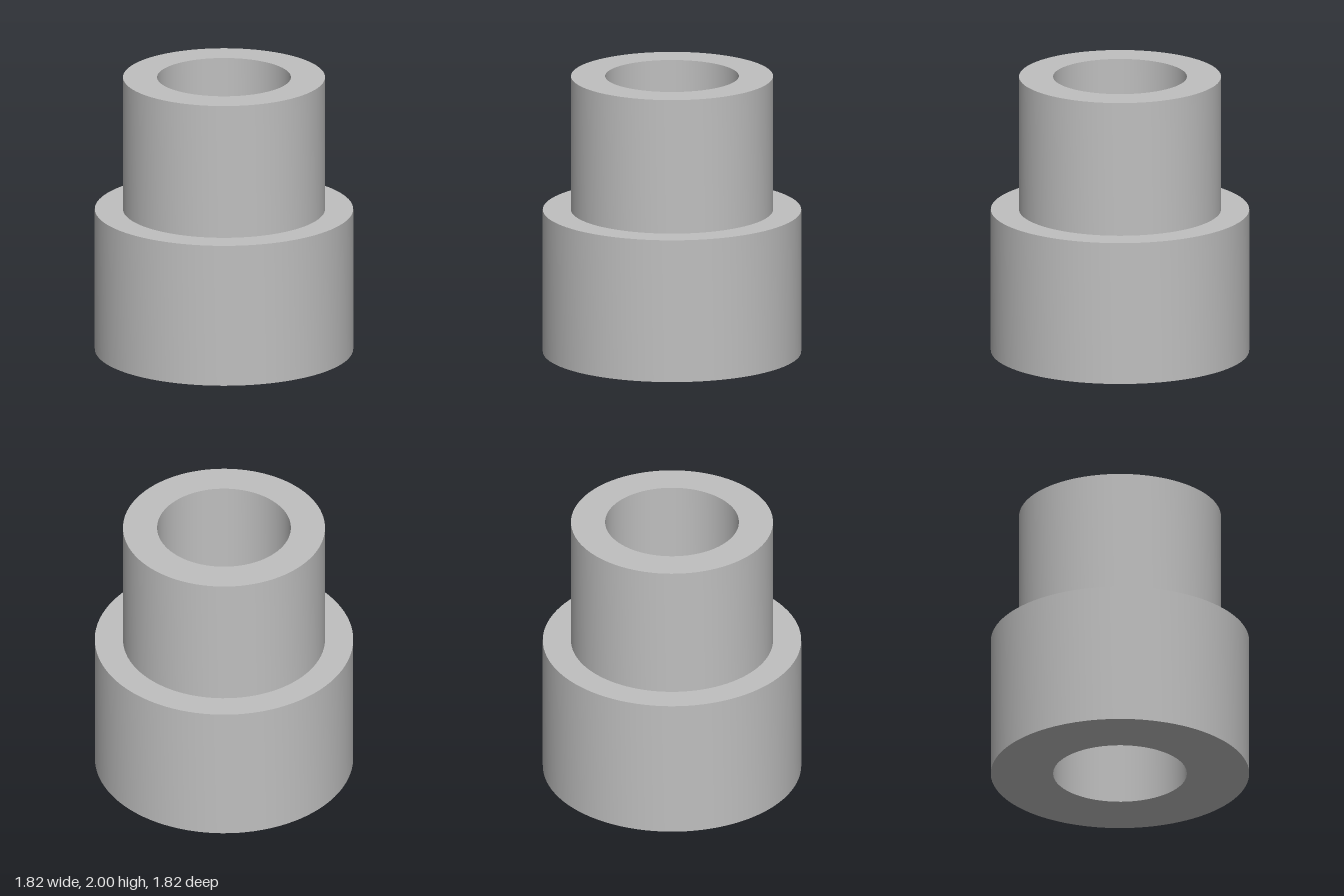
import * as THREE from 'three';
import { toCreasedNormals } from 'three/addons/utils/BufferGeometryUtils.js';

export function createModel() {
  const group = new THREE.Group();
  group.name = 'steppedBushing';

  const metal = new THREE.MeshStandardMaterial({ color: 0xbfbfbf });
  metal.name = 'grey metal';

  const bore = 0.472, neck = 0.713, base = 0.912;
  const step = 1.03, height = 2;

  // Closed section: underside, base wall, shoulder, neck wall, rim, bore
  const profile = [
    [bore, 0], [base, 0], [base, step], [neck, step],
    [neck, height], [bore, height], [bore, 0],
  ].map(([r, y]) => new THREE.Vector2(r, y));

  const geometry = toCreasedNormals(new THREE.LatheGeometry(profile, 96), 0.5);
  const body = new THREE.Mesh(geometry, metal);
  body.name = 'bushingBody';
  group.add(body);

  return group;
}
